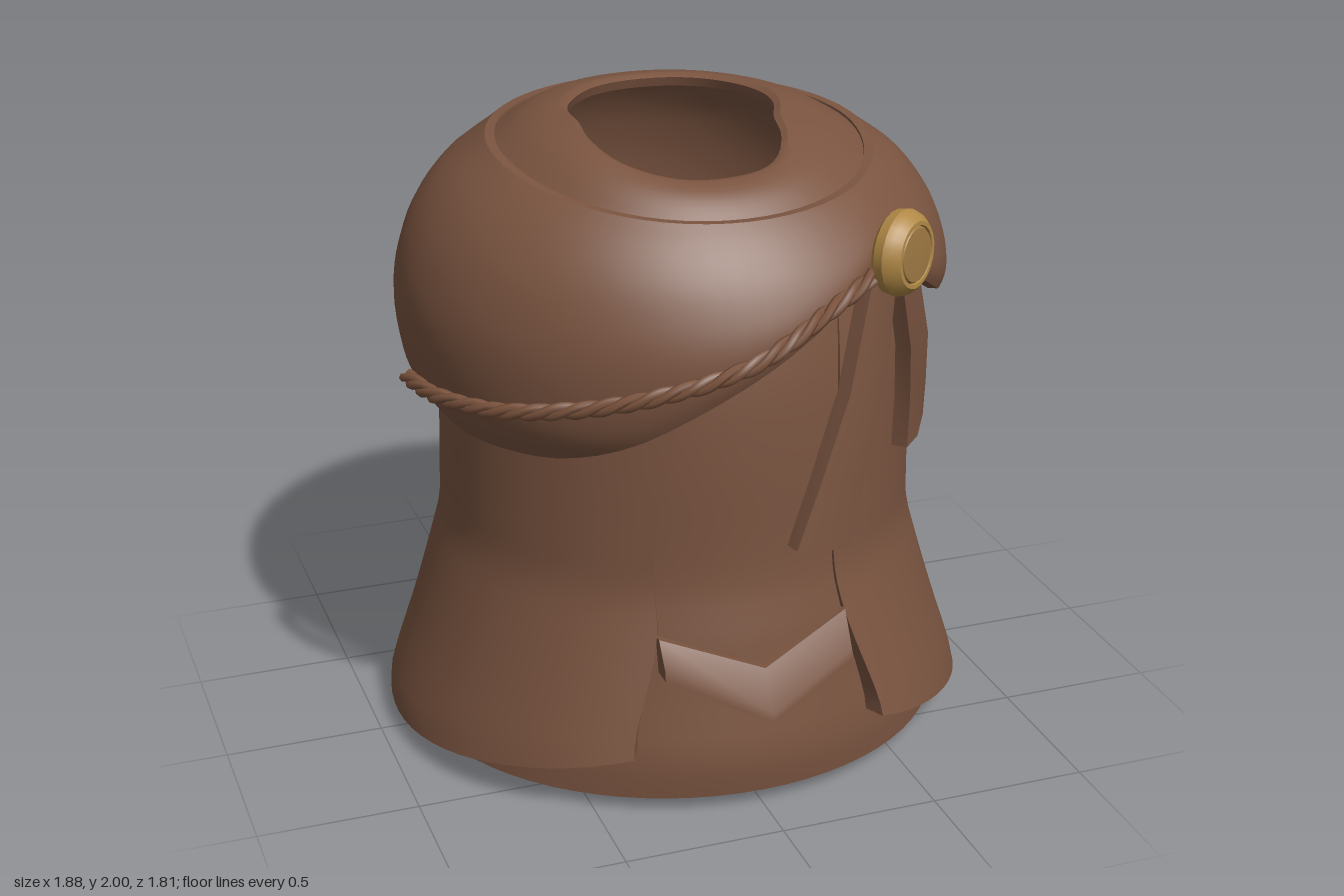
import * as THREE from 'three';
import { toCreasedNormals } from 'three/addons/utils/BufferGeometryUtils.js';

const V = (x, y, z) => new THREE.Vector3(x, y, z);
const SIDES = 72;

// Smooth lookup in a table of [key, value] pairs
function lookup(t, x) {
  const n = t.length - 1;
  if (x <= t[0][0]) return t[0][1];
  if (x >= t[n][0]) return t[n][1];
  let i = 0;
  while (t[i + 1][0] < x) i++;
  const slope = (k) => {
    const a = t[Math.max(k - 1, 0)], b = t[Math.min(k + 1, n)];
    return (b[1] - a[1]) / (b[0] - a[0]);
  };
  const h = t[i + 1][0] - t[i][0], s = (x - t[i][0]) / h, r = 1 - s;
  return t[i][1] * (1 + 2 * s) * r * r + t[i + 1][1] * s * s * (3 - 2 * s)
    + h * (slope(i) * s * r * r - slope(i + 1) * s * s * r);
}

// Depth of the body relative to its width, by height
const frontDepth = [[0.05, 0.975], [0.2, 1.02], [0.7, 1.02], [1.3, 1.035], [1.65, 0.99], [1.85, 0.95]];
const backDepth = [[0.05, 0.962], [0.35, 0.975], [0.7, 0.993], [1.2, 0.955], [1.7, 0.95], [1.88, 0.97]];

const cosDeg = (d) => Math.cos(THREE.MathUtils.degToRad(d));

// Point on an elliptical ring; the angle in degrees runs from +z towards +x
function polar(deg, r, y, zScale = lookup(cosDeg(deg) > 0 ? frontDepth : backDepth, y)) {
  const a = THREE.MathUtils.degToRad(deg);
  return V(Math.sin(a) * r, y, Math.cos(a) * r * zScale);
}

// Surface through rows of points
function skin(rows, crease = 0.6) {
  const pos = [];
  const tri = (a, b, c) => {
    if (a.distanceTo(b) < 1e-6 || b.distanceTo(c) < 1e-6 || c.distanceTo(a) < 1e-6) return;
    for (const p of [a, b, c]) pos.push(p.x, p.y, p.z);
  };
  for (let j = 0; j < rows.length - 1; j++) {
    for (let i = 0; i < rows[j].length - 1; i++) {
      const a = rows[j][i], b = rows[j][i + 1], c = rows[j + 1][i + 1], d = rows[j + 1][i];
      tri(a, b, c);
      tri(a, c, d);
    }
  }
  const g = new THREE.BufferGeometry();
  g.setAttribute('position', new THREE.Float32BufferAttribute(pos, 3));
  return toCreasedNormals(g, crease);
}

// Solid through open loops of points, closed around and capped at both ends
function solid(loops, crease) {
  const cap = (l) => {
    const c = l.reduce((s, p) => s.add(p), V(0, 0, 0)).divideScalar(l.length);
    return l.map(() => c);
  };
  const all = [cap(loops[0]), ...loops, cap(loops[loops.length - 1])];
  return skin(all.map((l) => [...l, l[0]]), crease);
}

const ring = (fn) => Array.from({ length: SIDES + 1 }, (_, i) => fn((i * 360) / SIDES));

// Radius profiles by height
const innerR = [[0, 0.85], [0.04, 0.86], [0.35, 0.80], [0.58, 0.768], [0.7, 0.744], [1.1, 0.735], [1.4, 0.723], [1.65, 0.69], [1.85, 0.6], [1.92, 0.53]];
const outerR = [[0.05, 0.94], [0.1, 0.935], [0.35, 0.853], [0.58, 0.785], [0.7, 0.756], [0.85, 0.75], [1.1, 0.744], [1.4, 0.734], [1.66, 0.70]];
const capeR = [[1.1, 0.81], [1.2, 0.85], [1.3, 0.867], [1.45, 0.874], [1.57, 0.855], [1.7, 0.805], [1.82, 0.715], [1.9, 0.607], [1.94, 0.555]];
// Cape hem height and neck hole radius by angle
const capeHem = [[0, 1.42], [13, 1.53], [22, 1.6], [31, 1.67], [45, 1.55], [62, 1.43], [83, 1.36], [105, 1.34], [125, 1.28],
  [150, 1.2], [180, 1.19], [215, 1.22], [240, 1.19], [265, 1.14], [285, 1.1], [302, 1.1], [317, 1.12], [332, 1.19], [347, 1.31], [360, 1.42]];
const holeR = [0.40, 0.39, 0.33, 0.28, 0.30, 0.33, 0.36, 0.385, 0.39, 0.385, 0.36, 0.345, 0.325, 0.36, 0.40, 0.41, 0.40].map((r, i) => [i * 22.5, r]);
// Front edges of the outer robe: half width by height
const edgeLeft = [[0.22, 0.40], [0.28, 0.39], [0.58, 0.29], [0.8, 0.26], [1.3, 0.27], [1.66, 0.28]];
const edgeRight = [[0.22, 0.41], [0.28, 0.40], [0.58, 0.31], [0.82, 0.31], [0.95, 0.293], [1.3, 0.24], [1.66, 0.18]];

const rimY = (d) => 1.93 - 0.11 * ((1 + cosDeg(d)) / 2) ** 3;

function capePoint(d, s, inset = 0) {
  const y = THREE.MathUtils.lerp(rimY(d), lookup(capeHem, d), s);
  const zs = 0.92 + 0.12 * Math.max(0, -cosDeg(d)) * (1 - s) ** 3 + 0.065 * s * Math.max(0, cosDeg(d));
  return polar(d, lookup(capeR, y) * (1 - 0.04 * s ** 8) - inset, y, zs);
}

function innerRobe() {
  const hem = (d) => 0.03 + 0.02 * cosDeg(d);
  const rows = [ring((d) => polar(d, 0.825, hem(d) + 0.04)), ring((d) => polar(d, 0.835, hem(d) - 0.01))];
  for (let j = 0; j <= 26; j++) {
    rows.push(ring((d) => {
      const y = THREE.MathUtils.lerp(hem(d), rimY(d) - 0.03, j / 26);
      return polar(d, lookup(innerR, y), y);
    }));
  }
  return skin(rows);
}

function outerRobe() {
  const top = 1.66, nv = 36;
  const edgeAngle = (table, y) => THREE.MathUtils.radToDeg(Math.asin(lookup(table, y) / lookup(outerR, y)));
  const point = (u, v, atHem, atEdge) => {
    const side = Math.min(u, 1 - u) * 305;
    const hem = 0.05 + 0.17 * Math.max(0, 1 - side / 65) ** 1.5;
    const y = THREE.MathUtils.lerp(hem, top, v);
    const d = THREE.MathUtils.lerp(edgeAngle(edgeLeft, y), 360 - edgeAngle(edgeRight, y), u);
    const r = atEdge ? lookup(innerR, y) + 0.003 : lookup(outerR, y) - (atHem ? 0.035 : 0);
    return polar(d, r, y);
  };
  const rows = [];
  // The first row and the end columns turn inwards to give the cloth thickness
  for (let j = -1; j <= nv; j++) {
    const row = [];
    for (let i = -1; i <= SIDES + 1; i++) {
      const u = THREE.MathUtils.clamp(i / SIDES, 0, 1);
      row.push(point(u, Math.max(j, 0) / nv, j < 0, i < 0 || i > SIDES));
    }
    rows.push(row);
  }
  return skin(rows);
}

function cape() {
  const rows = [ring((d) => capePoint(d, 0, 0.035).add(V(0, -0.03, 0))), ring((d) => capePoint(d, 0, 0.03))];
  for (let j = 0; j <= 22; j++) rows.push(ring((d) => capePoint(d, j / 22)));
  rows.push(ring((d) => capePoint(d, 1, 0.03)));
  rows.push(ring((d) => {
    const y = lookup(capeHem, d) + 0.05;
    return polar(d, lookup(innerR, y) + 0.003, y);
  }));
  return skin(rows);
}

function collar() {
  const hole = (d, grow) => {
    const p = polar(d, lookup(holeR, d) + grow, 0, 1);
    p.z += 0.08;
    p.y = 2 - 0.1 * (Math.max(0, p.z) / 0.5) ** 2;
    return p;
  };
  const rows = [];
  for (let j = 0; j <= 8; j++) {
    const t = j / 8;
    rows.push(ring((d) => {
      const p = capePoint(d, 0, 0.03).add(V(0, -0.008, 0)).lerp(hole(d, 0.02), t);
      p.y += 0.018 * Math.sin(Math.PI * t);
      return p;
    }));
  }
  rows.push(ring((d) => hole(d, 0).add(V(0, -0.01, 0))));
  rows.push(ring((d) => hole(d, 0.01).add(V(0, -0.04, 0))));
  return skin(rows);
}

// Hanging strip; each section is x, y, z, half width, slant
function ribbon(sections) {
  return solid(sections.map(([x, y, z, w, slant = 0]) => {
    const n = V(x, 0, z).normalize(), t = V(n.z, 0, -n.x);
    return [[-1, -0.028], [-1, 0.022], [-0.25, 0.036], [1, 0.02], [1, -0.028]].map(([a, b]) =>
      V(x, y + a * slant, z).addScaledVector(t, a * w).addScaledVector(n, b));
  }), 0.7);
}

// One strand of the twisted rope
function strand(path, k) {
  const pts = [], n = 160;
  for (let i = 0; i <= n; i++) {
    const t = path.getTangentAt(i / n), side = t.clone().cross(V(0, 1, 0)).normalize(), up = side.clone().cross(t);
    const a = (i / n) * Math.PI * 2 * 8 + (k * Math.PI * 2) / 3;
    pts.push(path.getPointAt(i / n).addScaledVector(side, Math.cos(a) * 0.013).addScaledVector(up, Math.sin(a) * 0.013));
  }
  return new THREE.TubeGeometry(new THREE.CatmullRomCurve3(pts), 200, 0.014, 6);
}

export function createModel() {
  const cloth = new THREE.MeshStandardMaterial({ color: 0x7a5440, side: THREE.DoubleSide });
  cloth.name = 'brown cloth';
  const cord = new THREE.MeshStandardMaterial({ color: 0x7a523c });
  cord.name = 'brown cord';
  const gold = new THREE.MeshStandardMaterial({ color: 0xb08846 });
  gold.name = 'gold';
  const darkGold = new THREE.MeshStandardMaterial({ color: 0x9d7843 });
  darkGold.name = 'dark gold';

  const model = new THREE.Group();
  const add = (name, geometry, material, parent = model) => {
    const mesh = new THREE.Mesh(geometry, material);
    mesh.name = name;
    parent.add(mesh);
  };

  add('innerRobe', innerRobe(), cloth);
  add('outerRobe', outerRobe(), cloth);
  add('cape', cape(), cloth);
  add('collar', collar(), cloth);

  // Pointed flap at the front of the skirt
  add('frontFlap', solid([
    [-0.31, 0.58, 0.755, 0.47, 0.815], [0, 0.47, 0.835, 0.32, 0.91], [0.29, 0.58, 0.755, 0.44, 0.82],
  ].map(([x, y1, z1, y2, z2]) => [V(x, y1, z1), V(x, y2 + 0.03, z2 - 0.003), V(x, y2, z2), V(x, y2, z2 - 0.065), V(x, y1, z1 - 0.03)]), 0.9), cloth);

  add('longRibbon', ribbon([[0.40, 1.66, 0.69, 0.06], [0.335, 1.3, 0.735, 0.08], [0.25, 1.03, 0.765, 0.09], [0.187, 0.82, 0.785, 0.098, -0.02]]), cloth);
  add('shortRibbon', ribbon([[0.48, 1.66, 0.66, 0.05], [0.555, 1.37, 0.6, 0.07], [0.585, 1.18, 0.54, 0.08], [0.59, 1.035, 0.52, 0.085, 0.022]]), cloth);

  // Rope across the chest
  const rope = new THREE.Group();
  rope.name = 'rope';
  const path = new THREE.CatmullRomCurve3([V(-0.89, 1.26, 0.12), V(-0.85, 1.265, 0.3), V(-0.7, 1.29, 0.55), V(-0.4, 1.36, 0.77),
    V(-0.07, 1.465, 0.87), V(0.2, 1.585, 0.81), V(0.42, 1.68, 0.73)]);
  for (let k = 0; k < 3; k++) add('ropeStrand', strand(path, k), cord, rope);
  model.add(rope);

  // Round clasp where rope and ribbons meet
  const clasp = new THREE.Group();
  clasp.name = 'clasp';
  const lathe = (pts) => toCreasedNormals(new THREE.LatheGeometry(pts.map(([r, y]) => new THREE.Vector2(r, y)), 24), 0.5);
  add('claspRim', lathe([[0, -0.05], [0.1, -0.05], [0.125, -0.03], [0.13, 0], [0.12, 0.025], [0.1, 0.045], [0.088, 0.045], [0.085, 0.035], [0, 0.035]]), gold, clasp);
  add('claspCentre', lathe([[0.086, 0.036], [0.08, 0.045], [0, 0.05]]), darkGold, clasp);
  clasp.position.set(0.45, 1.7, 0.735);
  clasp.quaternion.setFromUnitVectors(V(0, 1, 0), V(0.58, 0.03, 0.8).normalize());
  model.add(clasp);
  return model;
}
